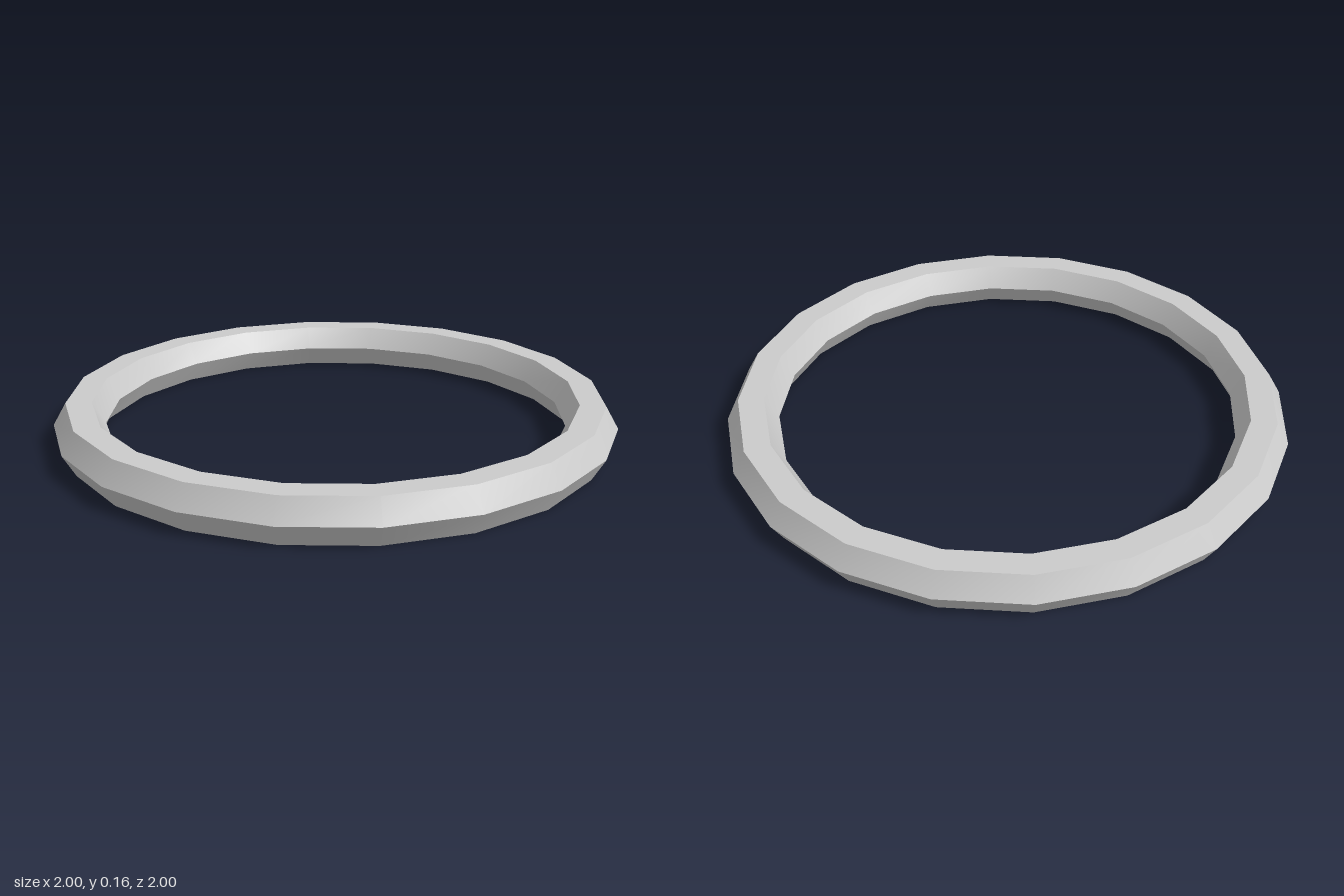
import * as THREE from 'three';
import { toCreasedNormals } from 'three/addons/utils/BufferGeometryUtils.js';

export function createModel() {
  const group = new THREE.Group();
  group.name = 'ringModel';

  // Flat-lying ring: hexagonal section swept through 20 segments
  const tube = 0.091;
  const radius = 1 - tube;
  const geometry = new THREE.TorusGeometry(radius, tube, 6, 20);
  geometry.rotateX(-Math.PI / 2);
  geometry.translate(0, tube * Math.sin(Math.PI / 3), 0); // rest on the ground

  // Smooth around the ring, sharp along the section's ridges
  const ring = new THREE.Mesh(
    toCreasedNormals(geometry, Math.PI / 6),
    new THREE.MeshStandardMaterial({ color: 0xcccccc })
  );
  ring.name = 'ring';
  group.add(ring);

  return group;
}
